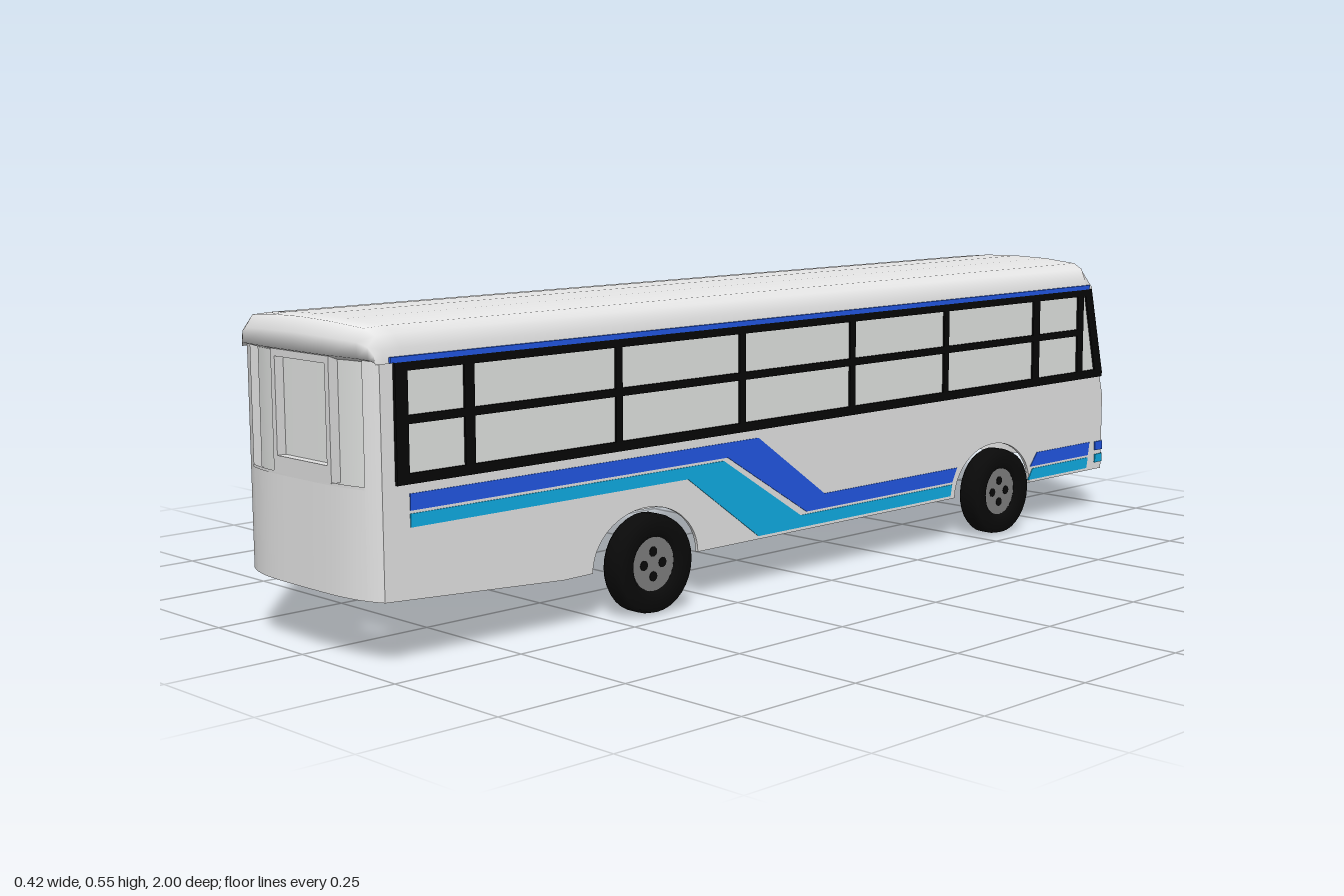
import * as THREE from 'three';

const flat = (name, color) => {
  const m = new THREE.MeshStandardMaterial({ color, side: THREE.DoubleSide });
  m.name = name;
  return m;
};

export function createModel() {
  const bus = new THREE.Group();
  bus.name = 'bus';
  const white = flat('bodyWhite', 0xfcfcfc), glass = flat('windowWhite', 0xf2f4f2);
  const screen = flat('windscreenGrey', 0xdcdcdc), trim = flat('trimGrey', 0xe0e0e0);
  const black = flat('frameBlack', 0x060606), rubber = flat('tyreBlack', 0x0a0a0a);
  const blue = flat('stripeBlue', 0x2259e8), cyan = flat('stripeCyan', 0x0fb2ea);
  const hubGrey = flat('hubGrey', 0x808080);

  const add = (name, geo, mat, parent = bus) => {
    const mesh = new THREE.Mesh(geo, mat);
    mesh.name = name;
    parent.add(mesh);
    return mesh;
  };

  // Side outline given as [z, y], extruded along x on both sides
  const sides = (name, mat, shape, inner, outer) => {
    if (Array.isArray(shape)) shape = new THREE.Shape(shape.map(([z, y]) => new THREE.Vector2(-z, y)));
    for (const s of [1, -1]) {
      const g = new THREE.ExtrudeGeometry(shape, { depth: outer - inner, bevelEnabled: false, curveSegments: 16 });
      g.rotateY(Math.PI / 2);
      g.translate(s > 0 ? inner : -outer, 0, 0);
      add((s > 0 ? 'left' : 'right') + name, g, mat);
    }
  };
  const sideBox = (name, mat, z0, z1, y0, y1, inner, outer) =>
    sides(name, mat, [[z0, y0], [z1, y0], [z1, y1], [z0, y1]], inner, outer);

  // Curved end faces: z as a function of x and y
  const frontZ = (x, y) => -0.99 + Math.max(0, y - 0.25) * 0.28 + 0.035 * (Math.abs(x) / 0.183) ** 6;
  const rearZ = (x) => 0.992 - 0.025 * (Math.abs(x) / 0.183) ** 4;
  // Four [x, y] corners, bottom pair then top pair, laid onto an end face
  const patch = (name, mat, [a, b, c, d], zAt, offset = 0, nx = 16) => {
    const g = new THREE.PlaneGeometry(1, 1, nx, 1), p = g.attributes.position;
    for (let i = 0; i < p.count; i++) {
      const u = p.getX(i) + 0.5, v = p.getY(i) + 0.5;
      const mix = (k) => (a[k] * (1 - u) + b[k] * u) * (1 - v) + (d[k] * (1 - u) + c[k] * u) * v;
      const x = mix(0), y = mix(1);
      p.setXYZ(i, x, y, zAt(x, y) + offset);
    }
    // front faces look towards -z, so turn their winding round
    if (zAt === frontZ) {
      const ix = g.index;
      for (let i = 0; i < ix.count; i += 3) {
        const t = ix.getX(i);
        ix.setX(i, ix.getX(i + 1));
        ix.setX(i + 1, t);
      }
    }
    g.computeVertexNormals();
    return add(name, g, mat);
  };
  const rect = (x0, x1, y0, y1) => [[x0, y0], [x1, y0], [x1, y1], [x0, y1]];

  // Side walls with wheel arches (shape runs along -z)
  const wheelZ = [0.41, -0.57];
  const wall = new THREE.Shape();
  wall.moveTo(-0.967, 0.11);
  wall.lineTo(-0.6, 0.087);
  for (const z of wheelZ) {
    wall.lineTo(-z - 0.125, 0.088);
    wall.absellipse(-z, 0.088, 0.125, 0.098, Math.PI, 0, true);
  }
  wall.lineTo(0.955, 0.088);
  wall.lineTo(0.955, 0.25);
  wall.lineTo(0.889, 0.49);
  wall.lineTo(-0.967, 0.49);
  sides('SideWall', white, wall, 0.178, 0.184);

  // Side windows and black frames
  sides('SideGlass', glass, [[0.93, 0.305], [-0.93, 0.305], [-0.89, 0.48], [0.93, 0.48]], 0.177, 0.186);
  const win = (name, ...r) => sideBox(name, black, ...r, 0.176, 0.19);
  win('WindowSill', 0.942, -0.942, 0.293, 0.31);
  win('WindowHead', 0.942, -0.898, 0.472, 0.486);
  win('WindowRail', 0.935, -0.86, 0.388, 0.402);
  [[0.93, 0.024], [0.797, 0.02], [0.476, 0.015], [0.176, 0.015], [-0.123, 0.015], [-0.405, 0.015],
    [-0.703, 0.022], [-0.86, 0.02]].forEach(([z, w], i) =>
    win('WindowPost' + (i + 1), z + w / 2, z - w / 2, 0.3, 0.48));
  sides('FrontWindowPost', black, [[-0.918, 0.3], [-0.944, 0.3], [-0.898, 0.486], [-0.874, 0.486]], 0.176, 0.19);
  sideBox('GutterStripe', blue, 0.95, -0.89, 0.486, 0.495, 0.183, 0.19);

  // Side stripes
  const stripe = (name, mat, pts) => sides(name, mat, pts, 0.183, 0.1855);
  stripe('BlueStripe', blue, [[0.915, 0.277], [0.13, 0.277], [-0.05, 0.15], [-0.45, 0.15], [-0.435, 0.122],
    [0, 0.122], [0.21, 0.25], [0.915, 0.25]]);
  stripe('CyanStripe', cyan, [[0.915, 0.245], [0.22, 0.245], [0.016, 0.117], [-0.435, 0.117], [-0.43, 0.094],
    [0.13, 0.094], [0.31, 0.223], [0.915, 0.223]]);
  stripe('FrontBlueStripe', blue, [[-0.72, 0.15], [-0.91, 0.15], [-0.905, 0.122], [-0.697, 0.122]]);
  stripe('FrontCyanStripe', cyan, [[-0.705, 0.117], [-0.905, 0.117], [-0.9, 0.094], [-0.69, 0.094]]);
  sideBox('CornerBlueStripe', blue, -0.93, -0.956, 0.13, 0.149, 0.183, 0.1865);
  sideBox('CornerCyanStripe', cyan, -0.93, -0.956, 0.103, 0.121, 0.183, 0.1865);

  // Roof lofted through [z, height factor] stations
  const half = [[0.186, 0.485], [0.184, 0.508], [0.174, 0.53], [0.155, 0.541], [0.08, 0.548]];
  const section = [...half, [0, 0.55], ...half.slice().reverse().map(([x, y]) => [-x, y])];
  const stations = [[0.975, 0], [1.0, 0.15], [1.0, 0.6], [0.985, 0.97], [0.95, 1], [0, 1], [-0.88, 1],
    [-0.905, 0.82], [-0.93, 0.2], [-0.925, 0]];
  const pos = [], idx = [], n = section.length;
  stations.forEach(([z, s], j) => section.forEach(([x, y], i) => {
    const curve = Math.abs(z) > 0.9 ? 0.025 * (Math.abs(x) / 0.186) ** 4 * Math.sign(z) : 0;
    pos.push(x, 0.485 + (y - 0.485) * s, z - curve);
    if (j && i) {
      const q = j * n + i;
      idx.push(q - n - 1, q - n, q - 1, q - n, q, q - 1);
    }
  }));
  const roof = new THREE.BufferGeometry();
  roof.setAttribute('position', new THREE.Float32BufferAttribute(pos, 3));
  roof.setIndex(idx);
  roof.computeVertexNormals();
  // make sure the winding faces outwards
  if (roof.attributes.normal.getY(5 * n + 5) < 0) {
    roof.setIndex(idx.slice().reverse());
    roof.computeVertexNormals();
  }
  add('roof', roof, white);

  // Front end: lower panel, pillars, windscreen
  patch('frontPanel', white, rect(-0.183, 0.183, 0.087, 0.25), frontZ, 0, 32);
  patch('windscreenSill', white, rect(-0.183, 0.183, 0.25, 0.28), frontZ, 0, 32);
  patch('windscreenHeader', white, rect(-0.183, 0.183, 0.472, 0.495), frontZ, 0, 32);
  patch('windscreen', screen, rect(-0.16, 0.16, 0.275, 0.477), frontZ, 0.008, 24);
  for (const s of [1, -1]) {
    const m = (pts) => {
      const q = pts.map(([x, y]) => [x * s, y]);
      return s > 0 ? q : [q[1], q[0], q[3], q[2]];
    };
    const side = s > 0 ? 'left' : 'right';
    patch(side + 'WindscreenPillar', white, m(rect(0.153, 0.183, 0.28, 0.472)), frontZ, 0, 10);
    // Bumper bands and the dipped stripe across the nose
    patch(side + 'BumperBlue', blue, m(rect(0.042, 0.184, 0.13, 0.149)), frontZ, -0.004);
    patch(side + 'BumperCyan', cyan, m(rect(0.042, 0.184, 0.103, 0.121)), frontZ, -0.004);
    patch(side + 'NoseDiagonal', blue, m([[0.038, 0.166], [0.062, 0.166], [0.118, 0.243], [0.092, 0.243]]), frontZ, -0.005);
    patch(side + 'NoseTip', blue, m(rect(0.1, 0.168, 0.226, 0.243)), frontZ, -0.004);
    // Headlights
    patch(side + 'HeadlightSurround', hubGrey, m(rect(0.092, 0.164, 0.172, 0.212)), frontZ, -0.004);
    patch(side + 'Headlight', white, m(rect(0.095, 0.161, 0.175, 0.209)), frontZ, -0.008);
    // Rear corner pillars
    patch(side + 'RearPillar', white, m(rect(0.155, 0.184, 0.11, 0.495)), rearZ, 0, 8);
  }
  patch('noseStripe', blue, rect(-0.05, 0.05, 0.163, 0.181), frontZ, -0.004);
  patch('lowerNoseStripe', blue, rect(-0.042, 0.042, 0.09, 0.106), frontZ, -0.004);
  const plate = add('frontPlate', new THREE.BoxGeometry(0.07, 0.038, 0.02), black);
  plate.position.set(0, 0.127, -0.99);

  // Rear end: panel, recessed glass, centre window frame
  patch('rearPanel', white, rect(-0.156, 0.156, 0.11, 0.29), rearZ);
  patch('rearGlass', glass, rect(-0.158, 0.158, 0.285, 0.495), rearZ, -0.015);
  patch('rearLedge', trim, rect(-0.156, 0.156, 0.287, 0.292), rearZ, 0.001);
  [['Left', 0.075, 0.086, 0.29, 0.495], ['Right', -0.075, -0.064, 0.29, 0.495],
    ['Bottom', -0.064, 0.075, 0.29, 0.318], ['Top', -0.064, 0.075, 0.48, 0.495]].forEach(([nm, x0, x1, y0, y1]) => {
    const bar = add('rearFrame' + nm, new THREE.BoxGeometry(x1 - x0, y1 - y0, 0.018), trim);
    bar.position.set((x0 + x1) / 2, (y0 + y1) / 2, 0.984);
  });

  // Wheels: tyre, hub and dark hub holes on both faces
  const profile = [[0.048, -0.014], [0.056, -0.0225], [0.084, -0.0225], [0.088, -0.016], [0.088, 0.008],
    [0.084, 0.0225], [0.056, 0.0225], [0.048, 0.014]].map(([r, h]) => new THREE.Vector2(r, h));
  for (const z of wheelZ) for (const s of [1, -1]) {
    const wheel = new THREE.Group();
    wheel.name = (z > 0 ? 'rear' : 'front') + (s > 0 ? 'Left' : 'Right') + 'Wheel';
    add('tyre', new THREE.LatheGeometry(profile, 32), rubber, wheel);
    add('hub', new THREE.CylinderGeometry(0.049, 0.049, 0.026, 24), hubGrey, wheel);
    for (let i = 0; i < 4; i++) {
      const a = (i / 4) * Math.PI * 2;
      add('hubHole', new THREE.CylinderGeometry(0.009, 0.009, 0.028, 12), rubber, wheel)
        .position.set(Math.cos(a) * 0.022, 0, Math.sin(a) * 0.022);
    }
    wheel.rotation.z = -s * Math.PI / 2;
    wheel.position.set(s * 0.1875, 0.088, z);
    bus.add(wheel);
  }
  return bus;
}
